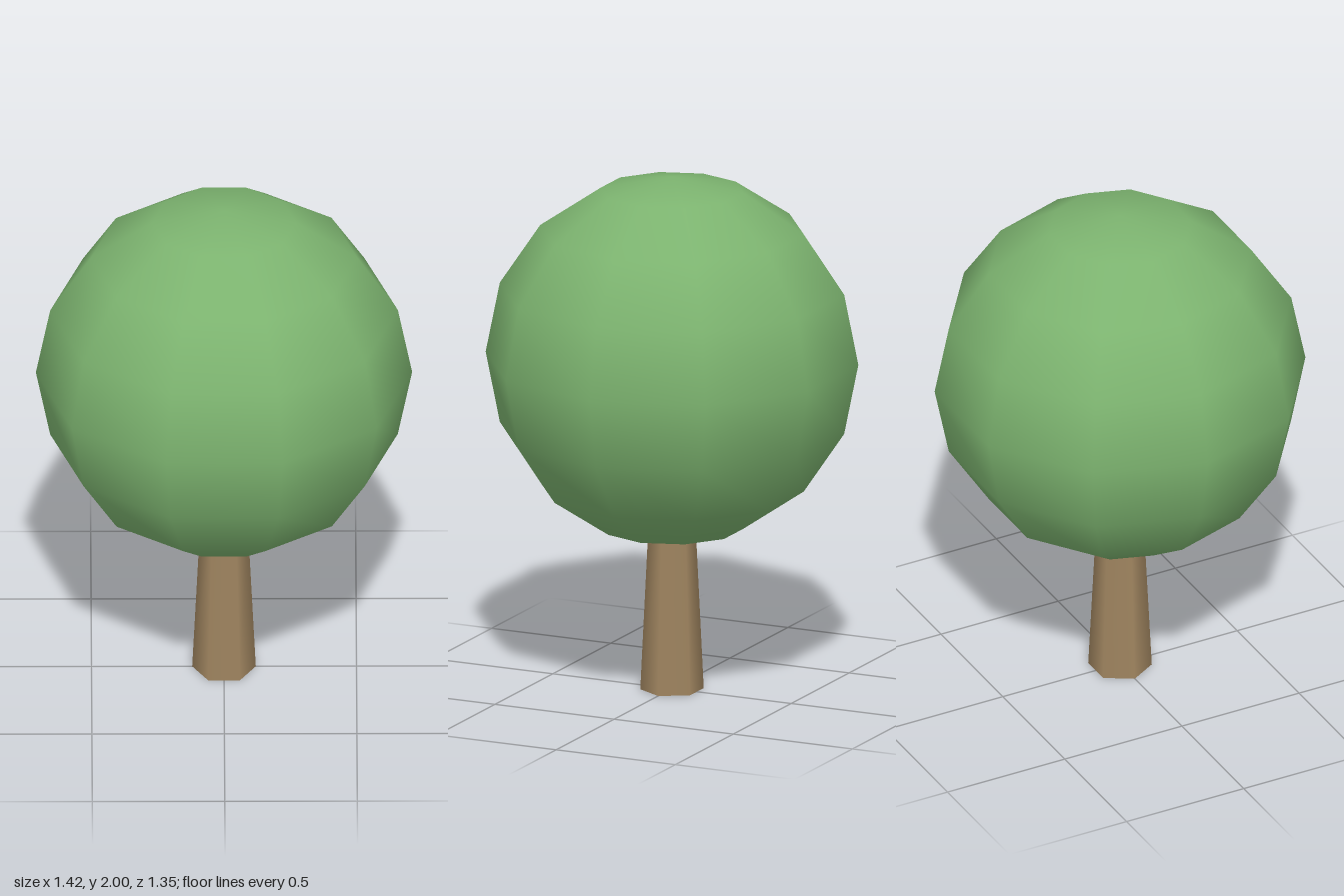
import * as THREE from 'three';

export function createModel() {
  const tree = new THREE.Group();
  tree.name = 'tree';

  const addPart = (name, geometry, color, y) => {
    const mesh = new THREE.Mesh(geometry, new THREE.MeshStandardMaterial({ color }));
    mesh.name = name;
    mesh.position.y = y;
    tree.add(mesh);
    return mesh;
  };

  // Tapered six-sided trunk, corners on the x axis, top tucked into the crown
  const trunkHeight = 0.62;
  const trunk = addPart('trunk', new THREE.CylinderGeometry(0.09, 0.12, trunkHeight, 6), 0xa08560, trunkHeight / 2);
  trunk.rotation.y = Math.PI / 2;

  // Smooth-shaded low-poly crown
  const crownRadius = 0.71;
  addPart('crown', new THREE.SphereGeometry(crownRadius, 10, 8), 0x7cb36f, 2 - crownRadius);

  return tree;
}
